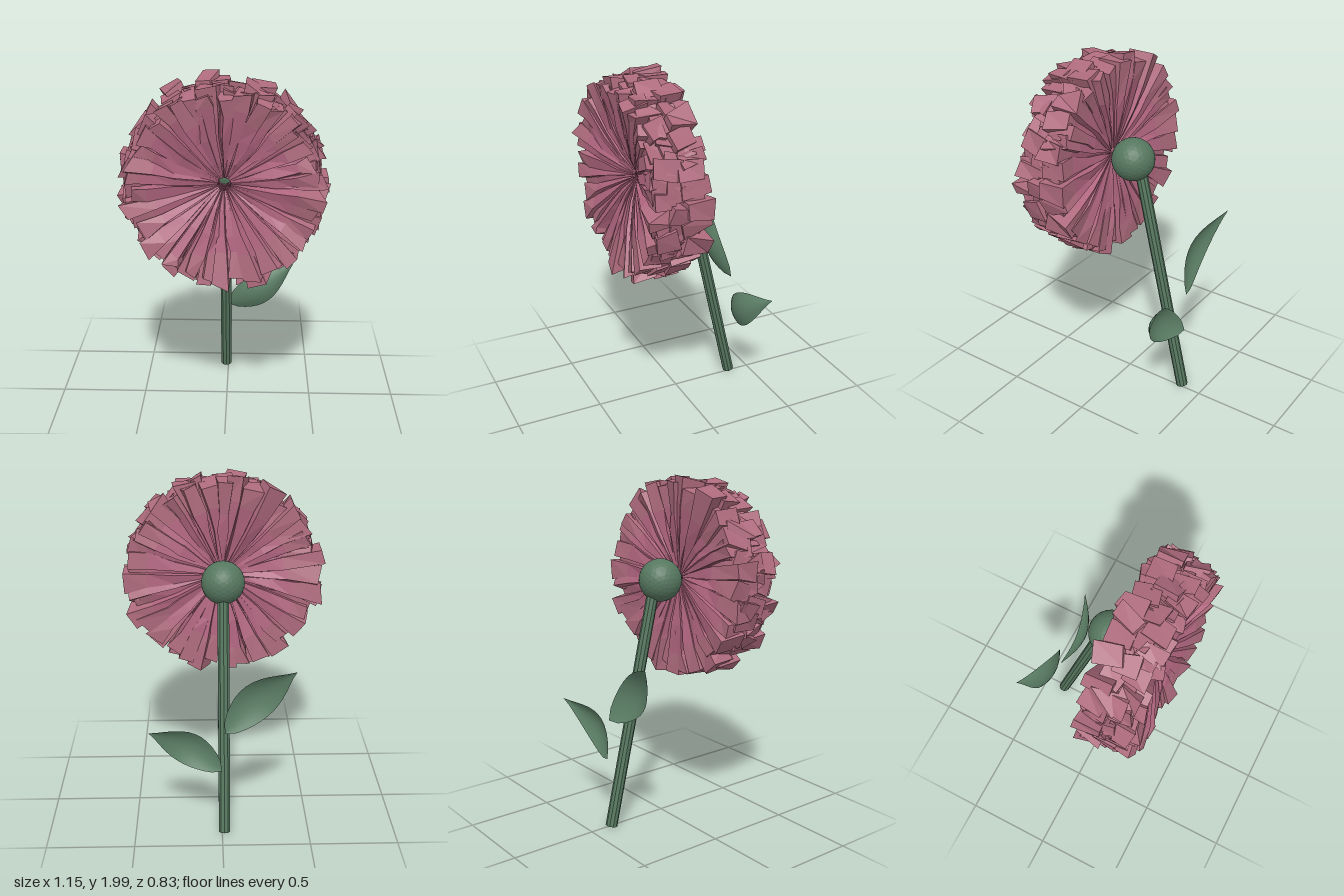
import * as THREE from 'three';

const CENTER = new THREE.Vector3(-0.01, 1.41, 0);

// Small seeded random in the range -1..1
function makeJitter(seed) {
  return () => {
    seed = (seed * 1664525 + 1013904223) % 4294967296;
    return (seed / 4294967296) * 2 - 1;
  };
}

// Hollowed back and front faces of the flower head, as z by radius
const backZ = r => 0.14 - 0.085 * Math.sqrt(r / 0.55);
const frontZ = r => 0.2 + 0.19 * Math.pow(r / 0.55, 0.55);

function quad(out, a, b, c, d) {
  for (const p of [a, b, c, a, c, d]) out.push(p.x, p.y, p.z);
}

// One crumpled petal: twisted four-cornered sections from the centre to a ragged tip
function addPetal(inner, outer, angle, ring, spread, jitter) {
  const tip = ring.radius + 0.022 * jitter();
  const turn = 0.6 * jitter();
  const lift = 0.015 * jitter();
  const radii = [0.035, 0.13, 0.27, 0.4 + 0.05 * jitter(), tip];
  const sections = radii.map((r, i) => {
    const k = i / 4;
    const twist = turn * (1 - 0.45 * k);
    const zLo = THREE.MathUtils.lerp(backZ(r), frontZ(r), ring.lo);
    const zHi = THREE.MathUtils.lerp(backZ(r), frontZ(r), ring.hi);
    const zMid = (zLo + zHi) / 2 + lift * k, halfZ = (zHi - zLo) / 2;
    const halfT = r * spread;
    const c = Math.cos(twist), s = Math.sin(twist);
    return [[-1, -1], [1, -1], [1, 1], [-1, 1]].map(([u, v]) => {
      const t = u * halfT * c - v * Math.min(halfZ, halfT * 1.5) * s + 0.016 * k * jitter();
      const z = zMid + v * halfZ * c + u * halfT * s + 0.012 * k * jitter();
      const rr = r + (i === 4 ? 0.025 * jitter() : 0);
      return new THREE.Vector3(
        rr * Math.cos(angle) - t * Math.sin(angle),
        rr * Math.sin(angle) + t * Math.cos(angle), z);
    });
  });
  for (let i = 0; i < 4; i++) {
    const a = sections[i], b = sections[i + 1];
    for (let j = 0; j < 4; j++) {
      const n = (j + 1) % 4;
      quad(i < 3 ? inner : outer, a[j], a[n], b[n], b[j]);
    }
  }
  quad(outer, ...sections[4]);
}

function facetedMesh(name, points, color) {
  const geo = new THREE.BufferGeometry();
  geo.setAttribute('position', new THREE.Float32BufferAttribute(points, 3));
  geo.computeVertexNormals();
  const mesh = new THREE.Mesh(geo,
    new THREE.MeshStandardMaterial({ color, flatShading: true, side: THREE.DoubleSide }));
  mesh.name = name;
  return mesh;
}

function makeFlowerHead() {
  const head = new THREE.Group();
  head.name = 'flowerHead';
  head.position.copy(CENTER);
  const jitter = makeJitter(17);
  const inner = [], outer = [];
  const rings = [
    { lo: 0, hi: 0.44, radius: 0.55, count: 32 },
    { lo: 0.12, hi: 0.52, radius: 0.535, count: 29 },
    { lo: 0.3, hi: 0.7, radius: 0.53, count: 30 },
    { lo: 0.48, hi: 0.88, radius: 0.525, count: 31 },
    { lo: 0.58, hi: 1, radius: 0.515, count: 34 },
  ];
  rings.forEach((ring, k) => {
    // The ring swells and shrinks slightly, giving the head a scalloped outline
    for (let i = 0; i < ring.count; i++) {
      const angle = ((i + 0.37 * k + 0.35 * jitter()) / ring.count) * Math.PI * 2;
      const scalloped = { ...ring, radius: ring.radius + 0.013 * Math.cos(15 * angle) };
      addPetal(inner, outer, angle, scalloped, 2.9 / ring.count, jitter);
    }
  });
  head.add(facetedMesh('petals', inner, 0xb0657f));
  head.add(facetedMesh('petalTips', outer, 0xae6b7e));
  return head;
}

// Pointed leaf, arched forward and cupped across its width
function makeLeaf(name, base, tip, width, material) {
  const rows = 12, cols = 6;
  const geo = new THREE.PlaneGeometry(1, 1, cols, rows);
  const pos = geo.attributes.position;
  const along = tip.clone().sub(base);
  const across = new THREE.Vector3(-along.y, along.x, 0).normalize();
  const p = new THREE.Vector3();
  for (let i = 0; i < pos.count; i++) {
    const u = pos.getX(i) * 2, t = pos.getY(i) + 0.5;
    const swell = Math.sin(Math.PI * t);
    const half = width * Math.pow(Math.sin(Math.PI * Math.pow(t, 0.85)), 0.8 + 0.4 * t);
    p.copy(base).addScaledVector(along, t).addScaledVector(across, u * half);
    p.z += 0.095 * swell - 0.035 * u * u * swell;
    pos.setXYZ(i, p.x, p.y, p.z);
  }
  geo.computeVertexNormals();
  const mesh = new THREE.Mesh(geo, material);
  mesh.name = name;
  return mesh;
}

export function createModel() {
  const model = new THREE.Group();
  model.name = 'flower';
  const green = new THREE.MeshStandardMaterial({ color: 0x56775f, flatShading: true });
  const leafGreen = new THREE.MeshStandardMaterial({ color: 0x5c7f66, side: THREE.DoubleSide });

  model.add(makeFlowerHead());

  // Round bud behind the petals
  const bud = new THREE.Mesh(new THREE.IcosahedronGeometry(0.122, 4), green);
  bud.name = 'bud';
  bud.position.set(CENTER.x - 0.003, CENTER.y, -0.013);
  model.add(bud);

  // Leaning stem
  const foot = new THREE.Vector3(-0.013, 0.009, -0.373);
  const top = new THREE.Vector3(-0.013, 1.34, -0.066);
  const dir = top.clone().sub(foot);
  const stem = new THREE.Mesh(new THREE.CylinderGeometry(0.034, 0.034, dir.length(), 10), green);
  stem.name = 'stem';
  stem.position.copy(foot).add(top).multiplyScalar(0.5);
  stem.quaternion.setFromUnitVectors(new THREE.Vector3(0, 1, 0), dir.normalize());
  model.add(stem);

  // Two leaves at different heights
  model.add(makeLeaf('leftLeaf', new THREE.Vector3(0, 0.42, -0.385),
    new THREE.Vector3(0.405, 0.685, -0.415), 0.1, leafGreen));
  model.add(makeLeaf('rightLeaf', new THREE.Vector3(-0.015, 0.655, -0.38),
    new THREE.Vector3(-0.4, 1.045, -0.415), 0.11, leafGreen));

  return model;
}
